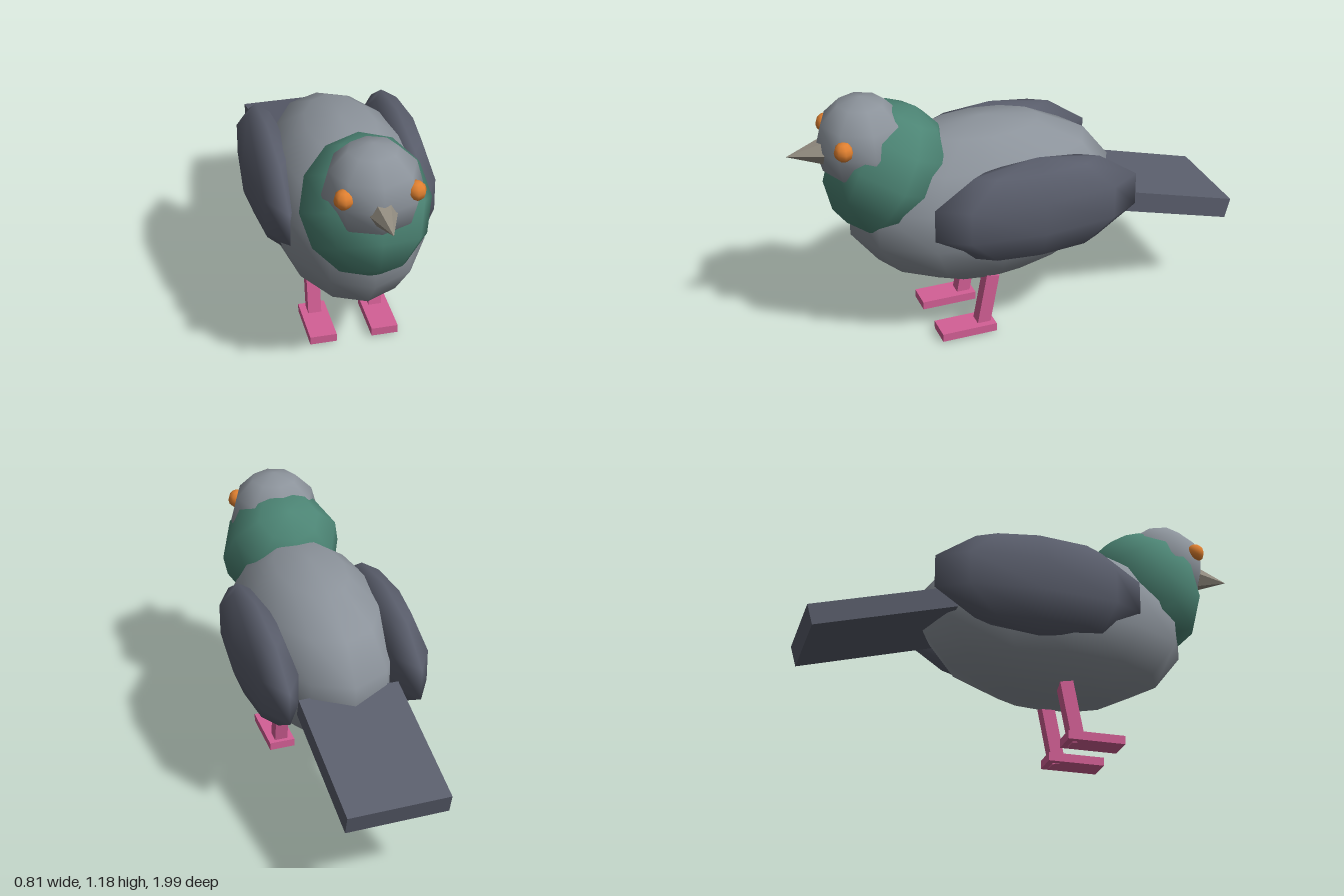
import * as THREE from 'three';

export function createModel() {
  const model = new THREE.Group();
  model.name = 'bird';

  const mat = (name, color) => {
    const m = new THREE.MeshStandardMaterial({ color });
    m.name = name;
    return m;
  };
  const grey = mat('body grey', 0x8c939b);
  const slate = mat('wing slate', 0x5a5e6c);
  const green = mat('neck green', 0x4c8474);
  const orange = mat('eye orange', 0xe08030);
  const horn = mat('beak horn', 0x928c80);
  const pink = mat('leg pink', 0xd46096);

  const add = (name, geometry, material, x, y, z, tilt = 0) => {
    const mesh = new THREE.Mesh(geometry, material);
    mesh.name = name;
    mesh.position.set(x, y, z);
    mesh.rotation.x = tilt;
    model.add(mesh);
    return mesh;
  };
  // Low-sided ellipsoid with smooth normals
  const ellipsoid = (rx, ry, rz, across, down) =>
    new THREE.SphereGeometry(1, across, down).scale(rx, ry, rz);

  // Body, neck and head
  add('body', ellipsoid(0.35, 0.385, 0.62, 12, 7), grey, 0, 0.615, 0.14);
  add('neck', ellipsoid(0.28, 0.298, 0.27, 8, 6), green, 0, 0.83, 0.575, -0.5);
  add('head', ellipsoid(0.21, 0.21, 0.205, 8, 6), grey, 0, 0.968, 0.67);

  // Six-sided faceted beak, turned so two corners point sideways
  const beak = new THREE.ConeGeometry(0.056, 0.15, 6).rotateY(Math.PI / 6)
    .rotateX(Math.PI / 2).toNonIndexed();
  beak.computeVertexNormals();
  add('beak', beak, horn, 0, 0.955, 0.925);

  // Tail slab, sloping down to the back
  add('tail', new THREE.BoxGeometry(0.45, 0.094, 0.64), slate, 0, 0.507, -0.673, -0.265);

  // Paired parts
  for (const [side, s] of [['left', 1], ['right', -1]]) {
    add(`${side}Wing`, ellipsoid(0.12, 0.242, 0.487, 8, 5), slate, s * 0.293, 0.664, -0.01);
    add(`${side}Eye`, ellipsoid(0.042, 0.043, 0.042, 8, 6), orange, s * 0.146, 1.01, 0.79);
    add(`${side}Leg`, new THREE.BoxGeometry(0.06, 0.28, 0.06), pink, s * 0.14, 0.144, 0.175, -0.185);
    add(`${side}Foot`, new THREE.BoxGeometry(0.12, 0.038, 0.255), pink, s * 0.14, 0.026, 0.272);
  }
  return model;
}
